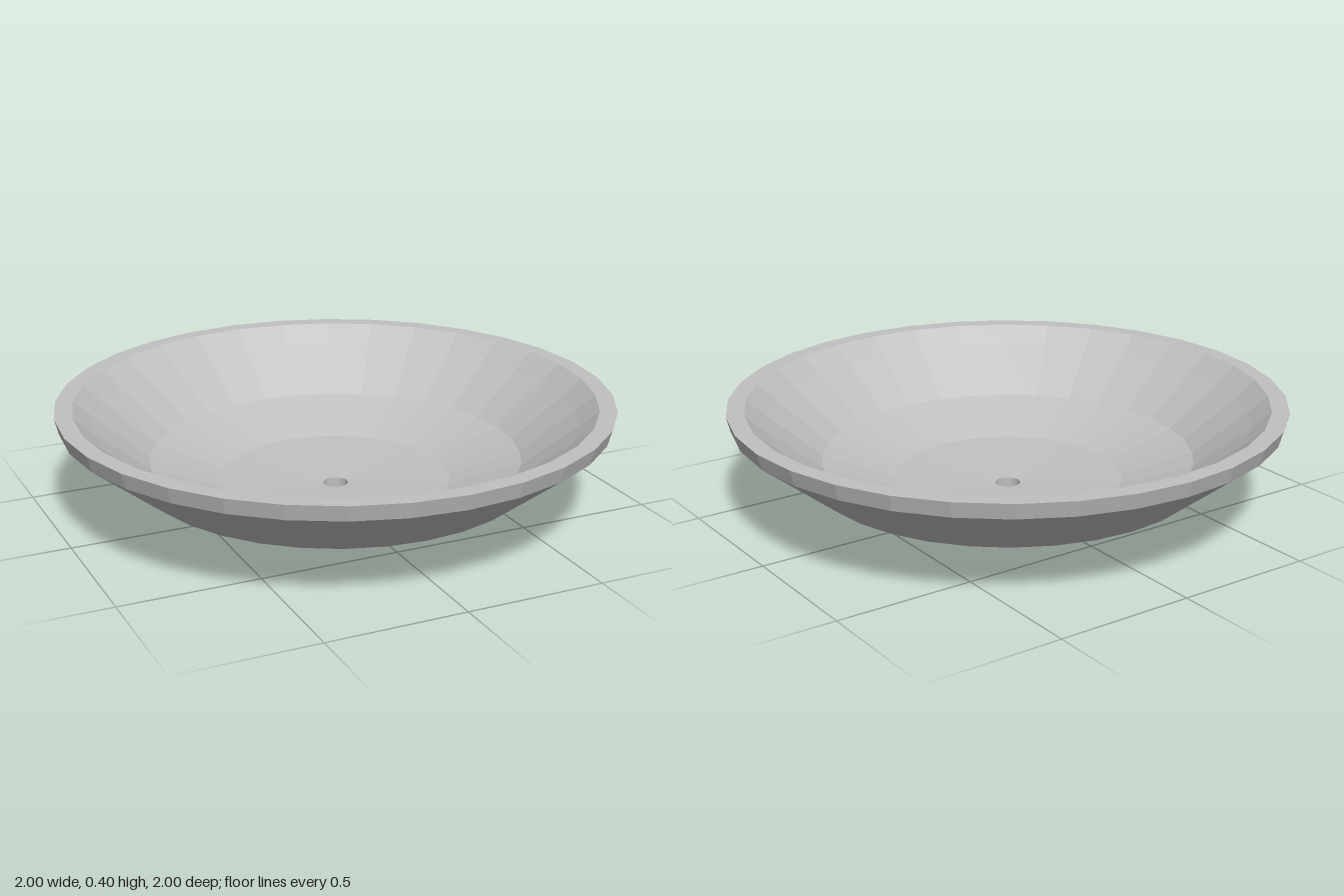
import * as THREE from 'three';

const SIDES = 32;

export function createModel() {
  const model = new THREE.Group();
  model.name = 'shallowBowl';

  const stone = new THREE.MeshStandardMaterial({ color: 0xc0c0c0 });
  stone.name = 'light grey';
  stone.flatShading = true;

  // Each part is a faceted ring turned from a short [radius, height] profile.
  // Profiles run so that the solid lies to their left.
  const turn = (name, profile) => {
    const points = profile.map(([r, y]) => new THREE.Vector2(r, y));
    const mesh = new THREE.Mesh(new THREE.LatheGeometry(points, SIDES), stone);
    mesh.name = name;
    model.add(mesh);
  };

  // Underside, from the drain hole out to the rim band
  turn('outerShell', [[0.045, 0], [0.42, 0.03], [0.715, 0.13], [0.985, 0.343]]);

  // Upright band and flat top of the rim
  turn('rimBand', [[0.985, 0.343], [1, 0.4]]);
  turn('rimTop', [[1, 0.4], [0.937, 0.4]]);

  // Hollow inside, from the rim down to the drain hole
  turn('innerBasin', [[0.937, 0.4], [0.868, 0.34], [0.672, 0.185], [0.415, 0.1], [0.045, 0.075]]);

  // Wall of the drain hole through the floor
  turn('drainHole', [[0.045, 0.075], [0.045, 0]]);

  return model;
}
